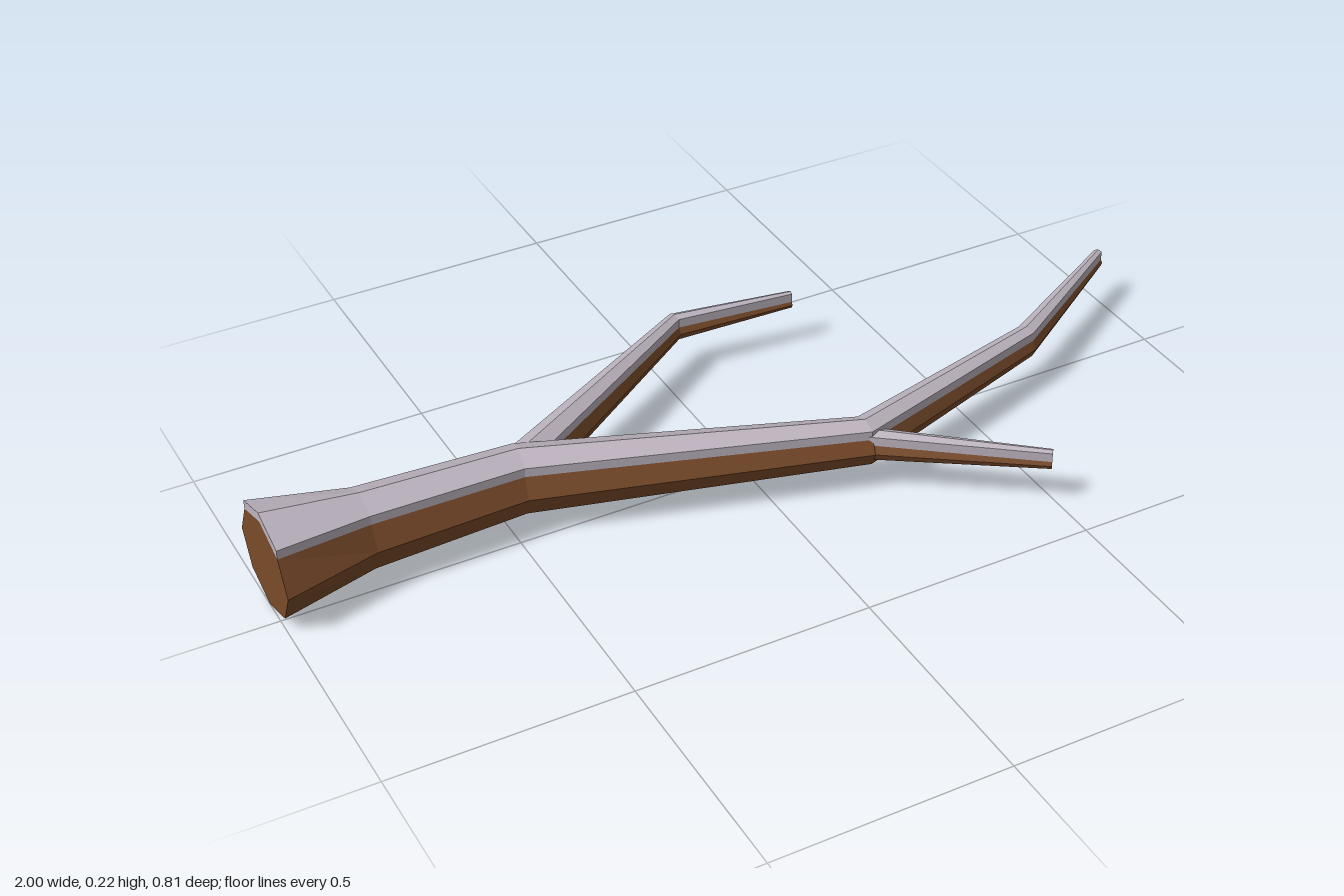
import * as THREE from 'three';

const AXIS_Y = 0.1;       // all limbs lie in one horizontal plane
const SNOW = 0.02;        // thickness of the snow layer
const UP = new THREE.Vector3(0, 1, 0);

// Bark: an octagon with a corner pointing straight up
const barkSection = (w, h) => Array.from({ length: 8 }, (_, k) => {
  const a = k * Math.PI / 4;
  return [Math.cos(a) * w, Math.sin(a) * h];
});

// Snow: the two top faces of the octagon, raised straight up
const snowSection = (w, h) => {
  const c = Math.SQRT1_2;
  return [[0, h], [c * w, c * h], [c * w, c * h + SNOW],
    [0, h + SNOW], [-c * w, c * h + SNOW], [-c * w, c * h]];
};

// Loft a section along a path of [x, z, halfWidth, halfHeight], mitred at bends
function loft(path, section) {
  const centres = path.map(([x, z]) => new THREE.Vector3(x, AXIS_Y, z));
  const rings = path.map(([, , w, h = w], i) => {
    const dir = new THREE.Vector3();
    if (i > 0) dir.add(centres[i].clone().sub(centres[i - 1]).normalize());
    if (i < path.length - 1) dir.add(centres[i + 1].clone().sub(centres[i]).normalize());
    const side = dir.normalize().cross(UP);
    return section(w, h).map(([a, b]) =>
      centres[i].clone().addScaledVector(side, a).addScaledVector(UP, b));
  });
  const pts = [];
  const n = rings[0].length;
  const last = rings[rings.length - 1];
  for (let i = 0; i < rings.length - 1; i++) {
    for (let k = 0; k < n; k++) {
      const m = (k + 1) % n, p = rings[i], q = rings[i + 1];
      pts.push(p[k], q[k], p[m], p[m], q[k], q[m]);
    }
  }
  // End caps
  for (let k = 1; k < n - 1; k++) {
    pts.push(rings[0][0], rings[0][k], rings[0][k + 1]);
    pts.push(last[0], last[k + 1], last[k]);
  }
  const geometry = new THREE.BufferGeometry().setFromPoints(pts);
  geometry.computeVertexNormals();
  return geometry;
}

export function createModel() {
  const bark = new THREE.MeshStandardMaterial({ color: 0x7a4b2a, flatShading: true });
  const snow = new THREE.MeshStandardMaterial({ color: 0xbcb3be, flatShading: true });

  const limbs = {
    // Main limb, flared at the broken end
    mainLimb: [[-1, -0.057, 0.125, 0.1], [-0.8, -0.057, 0.073, 0.075], [-0.47, -0.057, 0.063],
      [0.19, 0.158, 0.042], [0.67, 0.015, 0.027], [0.994, -0.185, 0.012]],
    // Long side branch towards the back
    backBranch: [[-0.47, -0.067, 0.046], [0.045, -0.39, 0.021], [0.315, -0.365, 0.01]],
    // Short twig towards the front
    frontTwig: [[0.185, 0.165, 0.025], [0.485, 0.391, 0.012]],
  };

  const model = new THREE.Group();
  model.name = 'snowyBranch';
  for (const [name, path] of Object.entries(limbs)) {
    const limb = new THREE.Group();
    limb.name = name;
    const wood = new THREE.Mesh(loft(path, barkSection), bark);
    wood.name = name + 'Bark';
    const cover = new THREE.Mesh(loft(path, snowSection), snow);
    cover.name = name + 'Snow';
    limb.add(wood, cover);
    model.add(limb);
  }
  return model;
}
